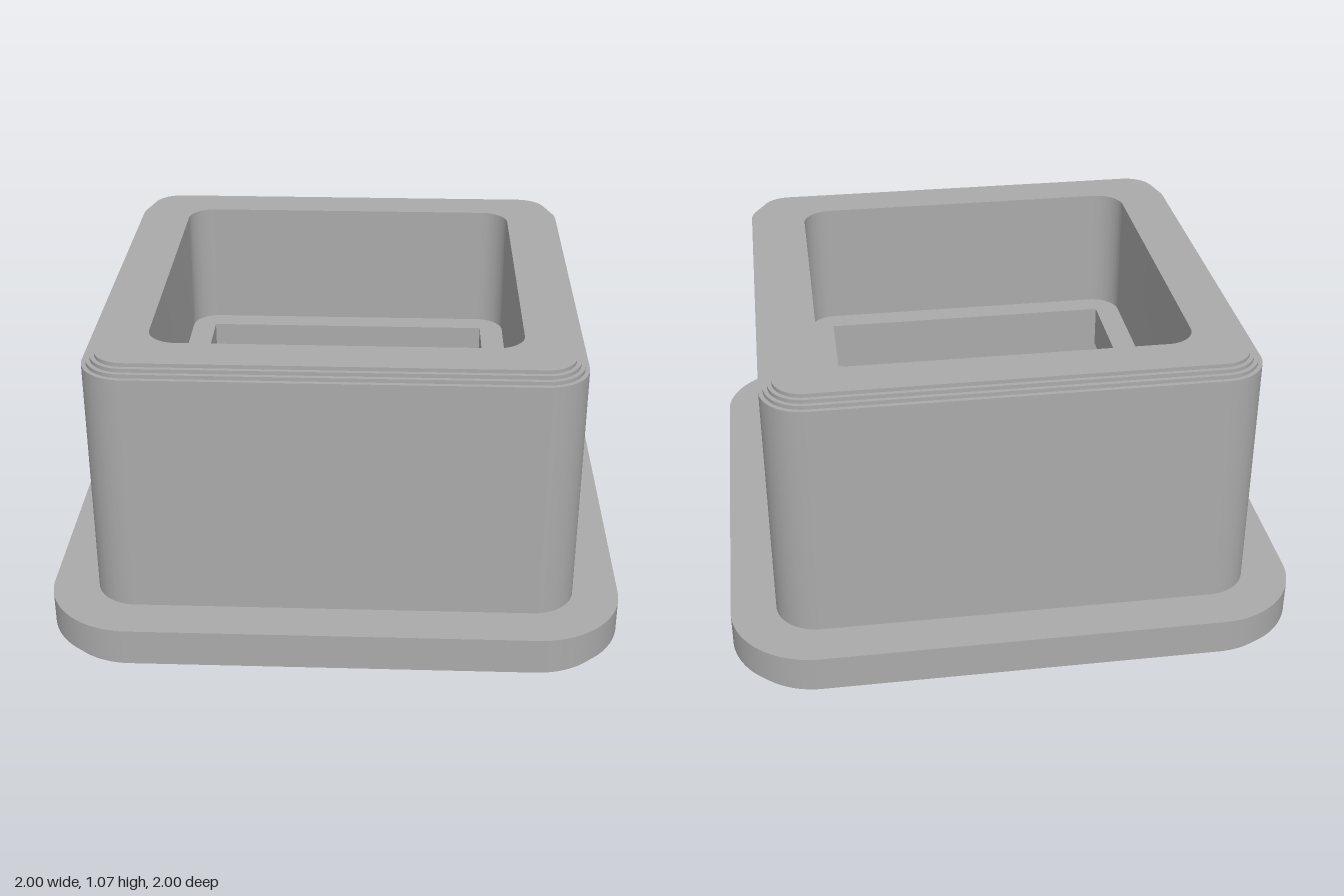
import * as THREE from 'three';
import { toCreasedNormals } from 'three/addons/utils/BufferGeometryUtils.js';

// Rounded square outline; h is the half width, r the corner radius
function roundedSquare(path, h, r) {
  const c = h - r;
  path.moveTo(c, -h);
  if (r > 0) path.absarc(c, -c, r, -Math.PI / 2, 0, false);
  path.lineTo(h, c);
  if (r > 0) path.absarc(c, c, r, 0, Math.PI / 2, false);
  else path.lineTo(h, h);
  path.lineTo(-c, h);
  if (r > 0) path.absarc(-c, c, r, Math.PI / 2, Math.PI, false);
  path.lineTo(-h, -c);
  if (r > 0) path.absarc(-c, -c, r, Math.PI, Math.PI * 1.5, false);
  path.closePath();
  return path;
}

const drain = () => new THREE.Path().absarc(0, 0, 0.195, 0, Math.PI * 2, true);
const cavity = () => roundedSquare(new THREE.Path(), 0.635, 0.1);
const squareHole = () => roundedSquare(new THREE.Path(), 0.545, 0);

export function createModel() {
  const group = new THREE.Group();
  const grey = new THREE.MeshStandardMaterial({ color: 0xaaaaaa });
  grey.name = 'grey';

  // Horizontal slab from y0 to y1 with a hole
  const layer = (name, y0, y1, half, radius, hole) => {
    const shape = roundedSquare(new THREE.Shape(), half, radius);
    shape.holes.push(hole());
    const geo = new THREE.ExtrudeGeometry(shape, { depth: y1 - y0, bevelEnabled: false, curveSegments: 20 });
    geo.rotateX(-Math.PI / 2).translate(0, y0, 0);
    const mesh = new THREE.Mesh(toCreasedNormals(geo, 0.6), grey);
    mesh.name = name;
    group.add(mesh);
  };

  // Base plate with a stepped lower edge and a round hole
  layer('baseStepLower', 0, 0.018, 0.97, 0.27, drain);
  layer('baseStepUpper', 0.018, 0.035, 0.985, 0.285, drain);
  layer('baseFloor', 0.035, 0.1, 1, 0.3, drain);
  layer('baseRim', 0.1, 0.155, 1, 0.3, cavity);

  // Hollow body with an inner ledge around a square opening
  layer('lowerWall', 0.155, 0.44, 0.84, 0.15, cavity);
  layer('innerLedge', 0.44, 0.6, 0.84, 0.15, squareHole);
  layer('upperWall', 0.6, 1.03, 0.84, 0.15, cavity);

  // Stepped top edge
  for (let i = 0; i < 3; i++) {
    const inset = 0.015 * (i + 1);
    layer('topStep' + (i + 1), 1.03 + i * 0.0133, 1.03 + (i + 1) * 0.0133, 0.84 - inset, 0.15 - inset, cavity);
  }
  return group;
}
